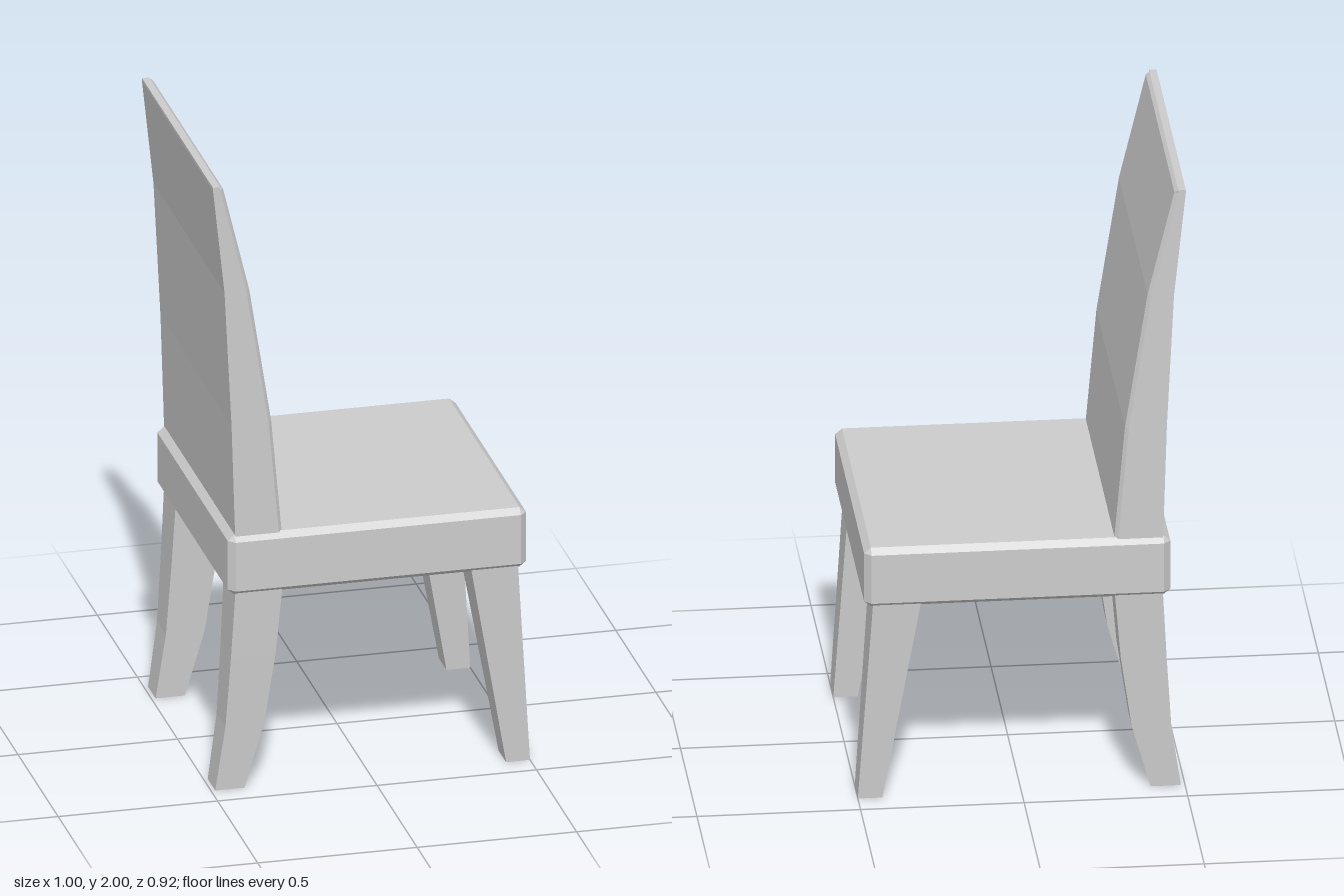
import * as THREE from 'three';

const material = new THREE.MeshStandardMaterial({ color: 0xcccccc, flatShading: true });

// Skins a stack of horizontal rings [y, [[x, z], ...]] listed bottom to top, and caps both ends.
function loft(rings) {
  const n = rings[0][1].length;
  const pos = [];
  const tri = (a, b, c) => {
    const area = new THREE.Triangle(a, b, c).getArea();
    if (area > 1e-8) for (const p of [a, b, c]) pos.push(p.x, p.y, p.z);
  };
  const loops = rings.map(([y, pts]) => pts.map(([x, z]) => new THREE.Vector3(x, y, z)));
  for (let r = 0; r < loops.length - 1; r++) {
    const lo = loops[r], hi = loops[r + 1];
    for (let i = 0; i < n; i++) {
      const j = (i + 1) % n;
      tri(lo[i], lo[j], hi[j]);
      tri(lo[i], hi[j], hi[i]);
    }
  }
  const bottom = loops[0], top = loops[loops.length - 1];
  for (let i = 1; i < n - 1; i++) {
    tri(bottom[0], bottom[i + 1], bottom[i]);
    tri(top[0], top[i], top[i + 1]);
  }
  const g = new THREE.BufferGeometry();
  g.setAttribute('position', new THREE.Float32BufferAttribute(pos, 3));
  g.computeVertexNormals();
  return g;
}

function part(name, rings) {
  const mesh = new THREE.Mesh(loft(rings), material);
  mesh.name = name;
  return mesh;
}

// Rectangle ring, counter-clockwise from above
const rect = (x0, x1, z0, z1) => [[x0, z1], [x1, z1], [x1, z0], [x0, z0]];

// Rectangle with corners cut by c; flat = true pulls all sides in by c for the cap
function cutRect(x0, x1, w, c, flat) {
  const e = flat ? c : 0;
  return [
    [x0 + e, w - c], [x0 + c, w - e], [x1 - c, w - e], [x1 - e, w - c],
    [x1 - e, c - w], [x1 - c, e - w], [x0 + c, e - w], [x0 + e, c - w],
  ];
}

// Backrest section: the two front corners are bevelled
function backRing(xb, xf, w, c, flat) {
  const f = flat ? xf - c : xf;
  return [[xb, w], [xf - c, w], [f, w - c], [f, c - w], [xf - c, -w], [xb, -w]];
}

export function createModel() {
  const chair = new THREE.Group();
  chair.name = 'chair';

  // Seat: bevelled slab
  const seat = (y, flat) => [y, cutRect(-0.453, 0.483, 0.459, 0.021, flat)];
  chair.add(part('seat', [seat(0.65, true), seat(0.667), seat(0.828), seat(0.846, true)]));

  // Backrest: curved, tapering panel [y, back x, front x]
  const profile = [
    [0.82, -0.43, -0.281], [0.85, -0.431, -0.283], [1.21, -0.442, -0.315],
    [1.65, -0.464, -0.384], [1.99, -0.5, -0.466],
  ];
  const backRings = profile.map(([y, xb, xf]) => [y, backRing(xb, xf, 0.443, 0.011)]);
  backRings.push([2, backRing(-0.5, -0.466, 0.443, 0.011, true)]);
  chair.add(part('backrest', backRings));

  // Legs: sections as [y, x0, x1, inner z, outer z], mirrored across z
  const legs = {
    frontLeg: [[0, 0.425, 0.5, 0.325, 0.419], [0.66, 0.309, 0.456, 0.297, 0.444]],
    rearLeg: [
      [0, -0.487, -0.395, 0.325, 0.419], [0.21, -0.457, -0.336, 0.316, 0.427],
      [0.44, -0.442, -0.302, 0.306, 0.436], [0.66, -0.43, -0.283, 0.297, 0.444],
    ],
  };
  for (const [name, sections] of Object.entries(legs)) {
    for (const side of [1, -1]) {
      chair.add(part(name + (side > 0 ? 'Left' : 'Right'), sections.map(([y, x0, x1, zi, zo]) =>
        [y, side > 0 ? rect(x0, x1, zi, zo) : rect(x0, x1, -zo, -zi)])));
    }
  }
  return chair;
}
